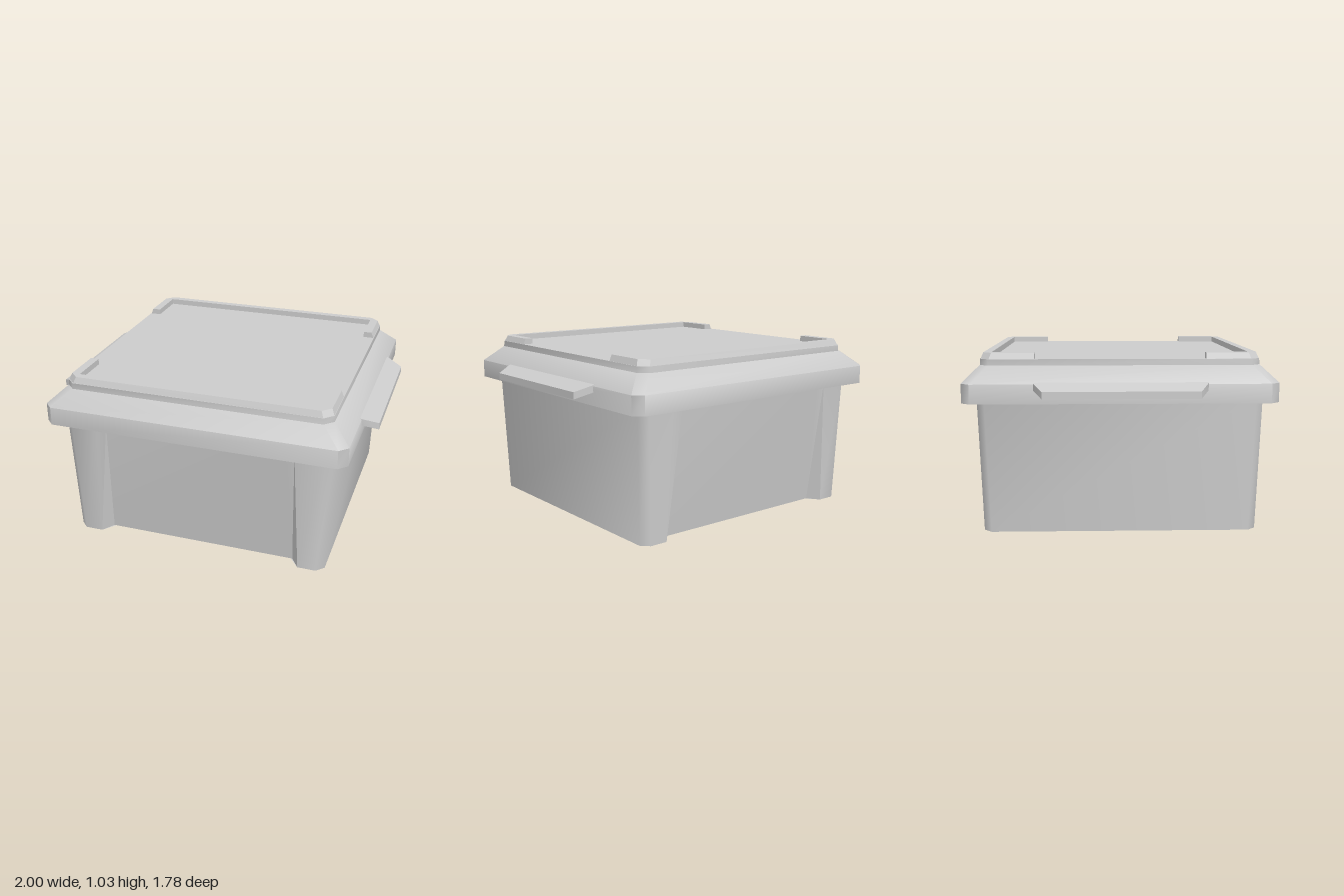
import * as THREE from 'three';
import { toCreasedNormals } from 'three/addons/utils/BufferGeometryUtils.js';

const material = new THREE.MeshStandardMaterial({ color: 0xcccccc });

// Mirrors the points of one quarter (from +x round to +z) into a closed ring at height y
function ring(y, quarter) {
  const back = [...quarter].reverse();
  const put = (pts, sx, sz) => pts.map(([x, z]) => [x * sx, y, z * sz]);
  return [...put(quarter, 1, 1), ...put(back, -1, 1), ...put(quarter, -1, -1), ...put(back, 1, -1)];
}

// Rectangle with chamfered corners
const octagon = (y, hx, hz, c) => ring(y, [[hx, hz - c], [hx - c, hz]]);

// Body outline: chamfered corner foot, then a step of the given depth into the recess
const bodyRing = (y, hx, hz, c, outer, inner, depth) =>
  ring(y, [[hx, hz - c], [hx - c, hz], [outer, hz], [inner, hz - depth]]);

// Skins a stack of rings, bottom to top, and caps both ends
function loft(rings) {
  const pos = [];
  const tri = (...pts) => pts.forEach((p) => pos.push(...p));
  const n = rings[0].length;
  const low = rings[0], high = rings[rings.length - 1];
  for (let i = 0; i < n; i++) {
    const j = (i + 1) % n;
    for (let r = 0; r < rings.length - 1; r++) {
      const a = rings[r], b = rings[r + 1];
      tri(a[i], b[i], a[j]);
      tri(b[i], b[j], a[j]);
    }
    tri([0, low[0][1], 0], low[i], low[j]);
    tri([0, high[0][1], 0], high[j], high[i]);
  }
  const g = new THREE.BufferGeometry();
  g.setAttribute('position', new THREE.Float32BufferAttribute(pos, 3));
  return toCreasedNormals(g, 0.9);
}

// Extrudes a plan outline upwards, then moves each vertex by a rule
function slab(points, height, rule) {
  const shape = new THREE.Shape(points.map(([x, z]) => new THREE.Vector2(x, -z)));
  const g = new THREE.ExtrudeGeometry(shape, { depth: height, bevelEnabled: false });
  g.rotateX(-Math.PI / 2);
  const p = g.attributes.position;
  const v = new THREE.Vector3();
  for (let i = 0; i < p.count; i++) {
    v.fromBufferAttribute(p, i);
    rule(v);
    p.setXYZ(i, v.x, v.y, v.z);
  }
  return toCreasedNormals(g, 0.5);
}

export function createModel() {
  const model = new THREE.Group();
  model.name = 'storageBox';
  const add = (name, geometry, turn = 0) => {
    const mesh = new THREE.Mesh(geometry, material);
    mesh.name = name;
    mesh.rotation.y = turn;
    model.add(mesh);
  };

  // Tapered body with recesses at front and back that fade out upwards
  add('body', loft([
    bodyRing(0, 0.79, 0.79, 0.045, 0.635, 0.585, 0.075),
    bodyRing(0.77, 0.815, 0.815, 0.045, 0.6, 0.54, 0),
  ]));

  // Lid: upright rim, sloping shoulder and flat deck
  add('lidRim', loft([
    octagon(0.76, 0.905, 0.89, 0.05),
    octagon(0.87, 0.905, 0.89, 0.05),
    octagon(0.965, 0.8, 0.795, 0.05),
  ]));
  add('lidDeck', loft([
    octagon(0.96, 0.8, 0.795, 0.05),
    octagon(1.0, 0.798, 0.793, 0.05),
  ]));

  // C-shaped stacking ridges, bevelled on the outside
  const ridge = slab([
    [0.795, 0.485], [0.795, 0.74], [0.745, 0.79], [-0.745, 0.79], [-0.795, 0.74], [-0.795, 0.485],
    [-0.73, 0.485], [-0.73, 0.73], [0.73, 0.73], [0.73, 0.485],
  ], 0.035, (v) => {
    if (v.y > 0.02) {
      if (Math.abs(v.x) > 0.735) v.x *= 0.982;
      if (v.z > 0.735) v.z *= 0.982;
    }
    v.y += 1;
  });
  add('frontRidge', ridge);
  add('backRidge', ridge, Math.PI);

  // Drooping side handles
  const handle = slab([
    [0.85, -0.485], [0.905, -0.485], [1, -0.435], [1, 0.435], [0.905, 0.485], [0.85, 0.485],
  ], 0.04, (v) => { v.y += 0.8 + (1 - v.x) * 0.37; });
  add('leftHandle', handle);
  add('rightHandle', handle, Math.PI);

  return model;
}
